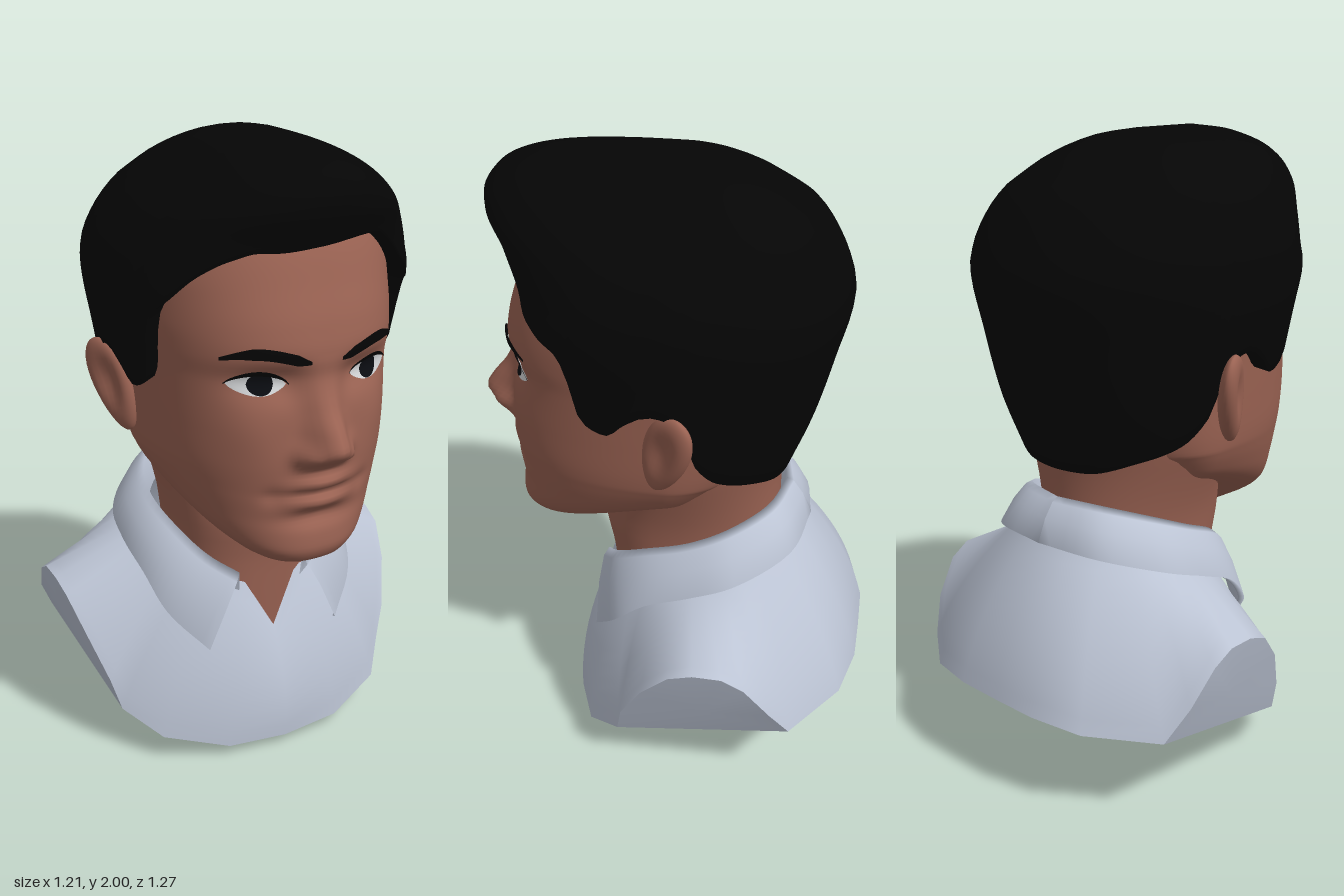
import * as THREE from 'three';
import { mergeVertices } from 'three/addons/utils/BufferGeometryUtils.js';

const material = (name, color) =>
  new THREE.MeshStandardMaterial({ name, color, side: THREE.DoubleSide });

// Smooth monotone lookup in a table of [key, value, value, ...] rows
function sample(table, key) {
  const last = table.length - 1;
  const k = THREE.MathUtils.clamp(key, table[0][0], table[last][0]);
  let i = 0;
  while (i < last - 1 && k > table[i + 1][0]) i++;
  const slope = (a, c) => (table[a + 1][c] - table[a][c]) / (table[a + 1][0] - table[a][0]);
  const tangent = (a, c) => {
    if (a === 0) return slope(0, c);
    if (a === last) return slope(last - 1, c);
    const p = slope(a - 1, c), q = slope(a, c);
    return p * q > 0 ? (2 * p * q) / (p + q) : 0;
  };
  const h = table[i + 1][0] - table[i][0], t = (k - table[i][0]) / h;
  return table[i].slice(1).map((v, n) => {
    const c = n + 1, t2 = t * t, t3 = t2 * t;
    return v * (2 * t3 - 3 * t2 + 1) + table[i + 1][c] * (3 * t2 - 2 * t3)
      + h * tangent(i, c) * (t3 - 2 * t2 + t) + h * tangent(i + 1, c) * (t3 - t2);
  });
}

// Surface from fn(u, v) -> [x, y, z], u to the right and v up
function grid(nu, nv, fn) {
  const pos = [], index = [];
  for (let j = 0; j <= nv; j++) for (let i = 0; i <= nu; i++) pos.push(...fn(i / nu, j / nv));
  for (let j = 0; j < nv; j++) for (let i = 0; i < nu; i++) {
    const a = j * (nu + 1) + i, b = a + 1, d = a + nu + 1, c = d + 1;
    index.push(a, b, c, a, c, d);
  }
  return finish(pos, index);
}

function finish(pos, index) {
  let geo = new THREE.BufferGeometry();
  geo.setAttribute('position', new THREE.Float32BufferAttribute(pos, 3));
  geo.setIndex(index);
  geo = mergeVertices(geo, 1e-5);
  geo.computeVertexNormals();
  return geo;
}

// Closed fan around a centre point
function fan(centre, loop) {
  const index = [], n = loop.length;
  for (let i = 0; i < n; i++) index.push(0, ((i + 1) % n) + 1, i + 1);
  return finish([centre, ...loop].flat(), index);
}

// Rounded cross-section, squarer at the front than at the back
const POWER = 2.4, BACK_POWER = 2.1;
function section(w, zf, zb, a) {
  const front = Math.cos(a) > 0;
  const bend = (v) => Math.sign(v) * Math.abs(v) ** (2 / (front ? POWER : BACK_POWER));
  return [w * bend(Math.sin(a)), bend(Math.cos(a)) * (front ? zf : zb)];
}

// Height, half width, front depth, back depth
const HEAD = [
  [0.715, 0.05, 0.2, 0.08], [0.735, 0.14, 0.36, 0.1], [0.75, 0.195, 0.45, 0.11],
  [0.78, 0.25, 0.505, 0.12], [0.82, 0.29, 0.52, 0.14], [0.87, 0.318, 0.517, 0.16],
  [0.92, 0.335, 0.515, 0.19], [1.0, 0.355, 0.518, 0.24], [1.1, 0.372, 0.525, 0.31],
  [1.2, 0.38, 0.52, 0.36], [1.35, 0.39, 0.515, 0.42], [1.42, 0.395, 0.527, 0.44],
  [1.5, 0.4, 0.515, 0.46], [1.6, 0.4, 0.485, 0.48], [1.75, 0.37, 0.43, 0.44],
  [1.85, 0.28, 0.33, 0.34], [1.93, 0, 0, 0],
];
const NECK = [
  [0.3, 0.23, 0.18, 0.3], [0.5, 0.235, 0.2, 0.32], [0.65, 0.24, 0.215, 0.33],
  [0.8, 0.256, 0.24, 0.34], [0.9, 0.28, 0.22, 0.34], [1.0, 0.312, 0.2, 0.345],
  [1.1, 0.342, 0.2, 0.36], [1.25, 0.36, 0.2, 0.38],
];
const HAIR = [
  [1.0, 0.34, 0.4, 0.37], [1.2, 0.42, 0.46, 0.44], [1.4, 0.455, 0.5, 0.49],
  [1.6, 0.48, 0.5, 0.53], [1.66, 0.474, 0.485, 0.515], [1.75, 0.435, 0.515, 0.475],
  [1.83, 0.37, 0.565, 0.42], [1.87, 0.325, 0.57, 0.36], [1.92, 0.255, 0.54, 0.28],
  [1.98, 0.12, 0.4, 0.12], [2.0, 0, 0.25, 0],
];
// Angle from the front in degrees, height of the hair's lower edge
const HAIRLINE = [
  [0, 1.73], [20, 1.735], [30, 1.7], [38, 1.655], [46, 1.61], [52, 1.575], [61, 1.53],
  [65, 1.45], [67, 1.35], [71, 1.3], [77, 1.285], [84, 1.34], [90, 1.375], [100, 1.33],
  [104, 1.2], [115, 1.1], [135, 1.05], [160, 1.005], [180, 1.0],
];
// Nose height above the face, and its half width
const NOSE = [
  [1.07, 0, 0.07], [1.1, 0.035, 0.068], [1.13, 0.09, 0.066], [1.16, 0.115, 0.062],
  [1.2, 0.096, 0.056], [1.27, 0.045, 0.05], [1.35, 0.012, 0.05], [1.42, 0, 0.06],
];
// Facial forms: x, y, spread x, spread y, height
const FORMS = [
  [0.18, 1.35, 0.085, 0.055, -0.025], [0.105, 1.34, 0.045, 0.055, -0.016],
  [0.068, 1.13, 0.028, 0.03, 0.032], [0, 1.035, 0.085, 0.024, 0.03],
  [0, 1.003, 0.11, 0.012, -0.013], [0, 0.97, 0.08, 0.024, 0.022],
  [0, 0.92, 0.11, 0.03, -0.022], [0.15, 1.0, 0.03, 0.03, -0.008],
  [0.22, 1.2, 0.08, 0.08, 0.01],
];
function relief(x, y) {
  const [rise, width] = sample(NOSE, y);
  let z = rise * Math.exp(-(Math.abs(x / width) ** 2.5));
  for (const [fx, fy, sx, sy, h] of FORMS)
    z += h * Math.exp(-(((Math.abs(x) - fx) / sx) ** 2) - ((y - fy) / sy) ** 2);
  return z;
}
function faceZ(x, y) {
  const [w, zf] = sample(HEAD, y);
  return zf * (1 - Math.min(1, Math.abs(x) / w) ** POWER) ** (1 / POWER) + relief(x, y);
}

function headPoint(u, v) {
  const s = 2 * u - 1, a = Math.PI * (0.55 * s + 0.45 * s ** 3);
  const y = 0.715 + 1.215 * v, [w, zf, zb] = sample(HEAD, y);
  const [x, z] = section(w, zf, zb, a);
  // The jaw line climbs towards the ears
  const jaw = 0.3 * THREE.MathUtils.clamp((1.05 - y) / 0.3, 0, 1);
  return [x, y + jaw * (zf - z) * Math.abs(Math.sin(a)), z > 0 ? z + relief(x, y) : z];
}

function hairPoint(u, v) {
  const a = Math.PI * (2 * u - 1), deg = Math.abs(a) * 180 / Math.PI;
  // The parting makes the front edge a little uneven
  const edge = sample(HAIRLINE, deg)[0] + (deg < 60 ? 0.015 * Math.sin(6 * a) : 0);
  const t = Math.min(1, (1 - v) * 31 / 30), under = v === 0;
  const y = 2 - (2 - edge) * t ** 1.6;
  const [x, z] = section(...sample(HAIR, y), a);
  return under ? [x * 0.84, y + 0.015, z * 0.84] : [x, y, z];
}

// Thin plate following the face
const drape = (x0, x1, mid, half, lift) => grid(18, 4, (u, v) => {
  const x = x0 + (x1 - x0) * u, y = mid(u) + half(u) * (2 * v - 1);
  return [x, y, faceZ(x, y) + lift];
});

// Lower edge of the shirt, front centre to back centre, up around the arm cut
const HEM = [
  [0, 0.035, 0.33], [0.2, 0.045, 0.315], [0.4, 0.095, 0.235], [0.495, 0.165, 0.12],
  [0.525, 0.27, 0.1], [0.573, 0.42, 0.02], [0.6, 0.52, -0.07], [0.607, 0.55, -0.15],
  [0.607, 0.55, -0.24], [0.602, 0.51, -0.31], [0.58, 0.4, -0.39], [0.53, 0.29, -0.45],
  [0.33, 0.3, -0.595], [0.16, 0.31, -0.635], [0, 0.31, -0.637],
];
const NECKLINE = [
  [0, 0.41, 0.24], [0.09, 0.575, 0.21], [0.19, 0.6, 0.145], [0.23, 0.62, 0.1],
  [0.27, 0.645, 0.05], [0.3, 0.66, 0], [0.31, 0.675, -0.05], [0.32, 0.69, -0.1],
  [0.32, 0.7, -0.14], [0.31, 0.72, -0.2], [0.29, 0.735, -0.25], [0.25, 0.75, -0.3],
  [0.18, 0.77, -0.36], [0.09, 0.78, -0.4], [0, 0.785, -0.41],
];
const BEVEL = [[0, 0, 0.27], [0.18, 0.01, 0.255], [0.37, 0.07, 0.18], HEM[3]];
const COLLAR_TOP = [[0.115, 0.62, 0.22], [0.2, 0.68, 0.165], [0.26, 0.75, 0.06],
  [0.285, 0.81, -0.08], [0.26, 0.86, -0.2], [0.16, 0.9, -0.315], [0, 0.905, -0.36]];
const COLLAR_EDGE = [[0.235, 0.38, 0.245], [0.34, 0.5, 0.155], [0.375, 0.605, 0.045],
  [0.385, 0.668, -0.1], [0.36, 0.715, -0.24], [0.22, 0.765, -0.4], [0, 0.775, -0.445]];

const flip = ([x, y, z]) => [-x, y, z];
const mix = (p, q, t) => p.map((v, i) => v + (q[i] - v) * t);
// Move a point away from the neck axis
function push([x, y, z], d, dy = 0) {
  const r = Math.hypot(x, z + 0.1) || 1;
  return [x + (x / r) * d, y + dy, z + ((z + 0.1) / r) * d];
}

function shirtPoint(u, v) {
  const s = Math.round(u * 28) - 14, i = Math.abs(s);
  const bulge = (i > 9 ? 0.11 : 0.062) * (0.6 - HEM[i][1]) * 4 * v * (1 - v);
  const p = push(mix(HEM[i], NECKLINE[i], v), bulge);
  return s < 0 ? flip(p) : p;
}

const curve = (pts) => new THREE.CatmullRomCurve3(pts.map((p) => new THREE.Vector3(...p)));
function collarGeometry() {
  const top = curve(COLLAR_TOP), edge = curve(COLLAR_EDGE);
  return grid(30, 5, (u, v) => {
    const a = top.getPoint(u).toArray(), b = edge.getPoint(u).toArray();
    return [push(b, -0.02), b, push(mix(b, a, 0.55), 0.016), push(mix(b, a, 0.9), 0.014),
      a, push(a, -0.015, -0.12)][Math.round(v * 5)];
  });
}

// Flattened ellipsoid with a hollow and a narrow lobe
function earGeometry() {
  const geo = new THREE.SphereGeometry(1, 28, 20), p = geo.attributes.position;
  for (let i = 0; i < p.count; i++) {
    const x = p.getX(i), y = p.getY(i), z = p.getZ(i);
    const hollow = x > 0 ? 0.03 * Math.exp(-3.5 * ((y - 0.1) ** 2 + (z - 0.1) ** 2)) : 0;
    p.setXYZ(i, 0.04 * x - hollow, 0.153 * y, (0.077 + 0.018 * y) * z + 0.02 * (1 - y) - 0.02);
  }
  geo.computeVertexNormals();
  return geo;
}

export function createModel() {
  const model = new THREE.Group();
  model.name = 'bust';
  const skin = material('skin', 0x9b6353), hair = material('black hair', 0x050505);
  const cloth = material('pale shirt', 0xbcc4d4);
  const white = material('eye white', 0xd6d8da), dark = material('dark iris', 0x0b0d12);
  const add = (name, geo, mat, parent = model) => {
    const mesh = new THREE.Mesh(geo, mat);
    mesh.name = name;
    parent.add(mesh);
    return mesh;
  };

  // Head, neck and hair
  add('head', grid(112, 100, headPoint), skin);
  add('neck', grid(48, 20, (u, v) => {
    const y = 0.3 + 0.95 * v;
    const [x, z] = section(...sample(NECK, y), Math.PI * (2 * u - 1));
    return [x, y, z];
  }), skin);
  add('hair', grid(144, 31, hairPoint), hair);

  // Shirt with its arm cuts and sloping underside
  add('shirt', grid(28, 10, shirtPoint), cloth);
  add('shirtBottomRim', grid(6, 1, (u, v) => {
    const s = Math.round(u * 6) - 3, p = (v ? HEM : BEVEL)[Math.abs(s)];
    return s < 0 ? flip(p) : p;
  }), cloth);
  const half = [...BEVEL, ...HEM.slice(11)];
  add('shirtUnderside', fan([0, 0.17, 0],
    [...half, ...half.slice(1, -1).reverse().map(flip)]), cloth);

  // Paired parts, made once and mirrored
  const collar = collarGeometry(), ear = earGeometry();
  const armCut = fan([0.555, 0.35, -0.17], HEM.slice(3, 12));
  const arch = (t) => Math.sin(Math.PI * t);
  const eyeMid = (t) => 1.342 + 0.006 * t, eyeHalf = (t) => 0.034 * arch(t) ** 0.7;
  const eye = drape(0.105, 0.265, eyeMid, eyeHalf, 0.005);
  const iris = drape(0.143, 0.215, () => 1.346, (t) => 0.033 * Math.sqrt(Math.max(0, 1 - (2 * t - 1) ** 2)), 0.008);
  const lash = drape(0.1, 0.27, (t) => eyeMid(t) + eyeHalf(t), (t) => 0.002 + 0.006 * arch(t), 0.009);
  const brow = drape(0.05, 0.285, (t) => 1.408 + 0.034 * Math.sin(Math.PI * t ** 1.2 * 0.85),
    (t) => 0.005 + 0.012 * Math.min(1, 6 * t) * Math.min(1, 3 * (1 - t)), 0.009);
  for (const [side, sign] of [['left', 1], ['right', -1]]) {
    const pair = new THREE.Group();
    pair.name = side + 'SideParts';
    pair.scale.x = sign;
    model.add(pair);
    add(side + 'Collar', collar, cloth, pair);
    add(side + 'ArmCut', armCut, cloth, pair);
    add(side + 'Eye', eye, white, pair);
    add(side + 'Iris', iris, dark, pair);
    add(side + 'Lashes', lash, hair, pair);
    add(side + 'Eyebrow', brow, hair, pair);
    const e = add(side + 'Ear', ear, skin, pair);
    e.position.set(0.422, 1.232, -0.035);
    e.rotation.set(-0.22, -0.4, -0.2);
  }
  return model;
}
